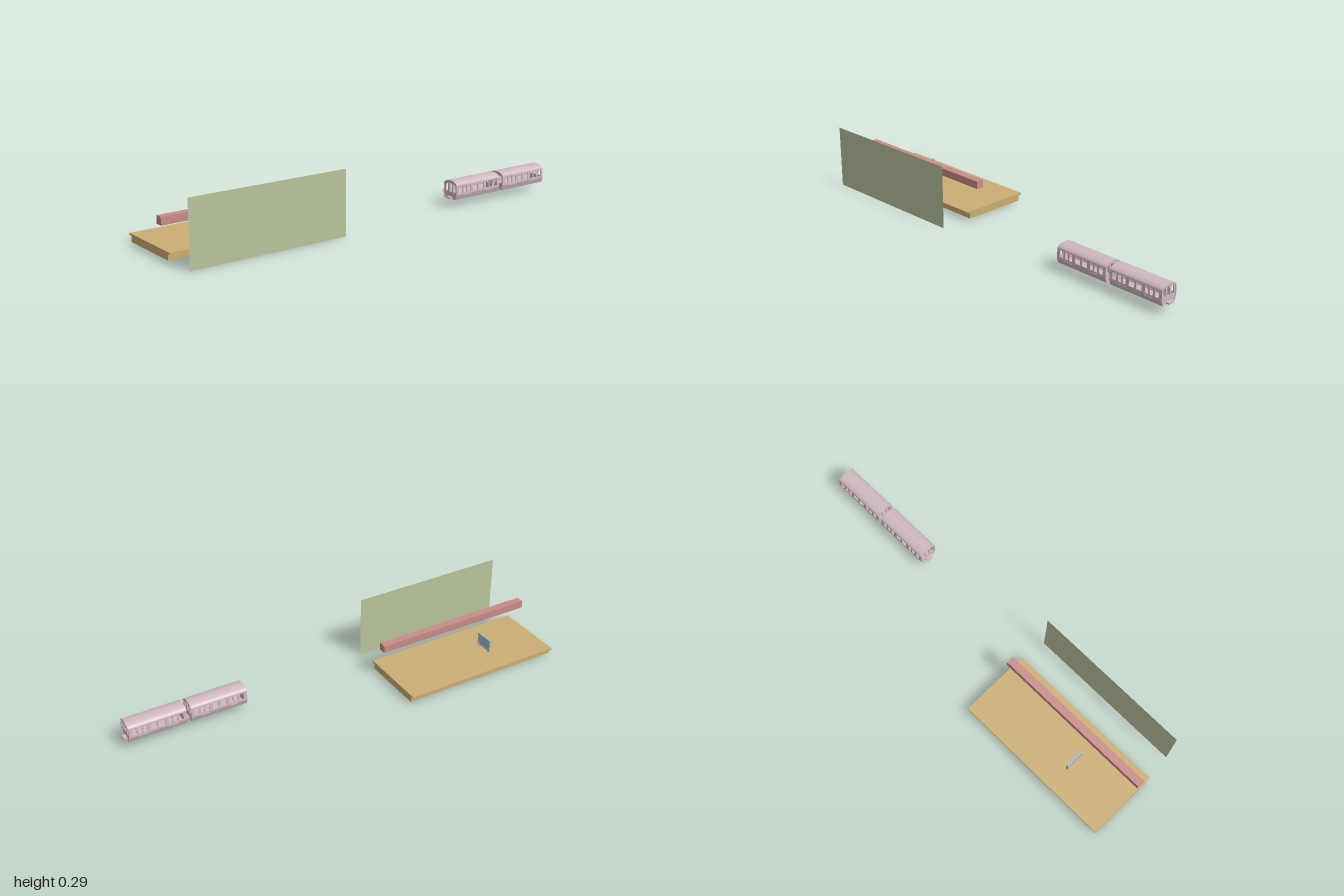
import * as THREE from 'three';

const mat = (color) => new THREE.MeshStandardMaterial({ color, flatShading: true });

function add(parent, name, geometry, material) {
  const mesh = new THREE.Mesh(geometry, material);
  mesh.name = name;
  parent.add(mesh);
  return mesh;
}

function box(parent, name, material, [x0, x1], [y0, y1], [z0, z1]) {
  const mesh = add(parent, name, new THREE.BoxGeometry(x1 - x0, y1 - y0, z1 - z0), material);
  mesh.position.set((x0 + x1) / 2, (y0 + y1) / 2, (z0 + z1) / 2);
  return mesh;
}

const polygon = (pts) => new THREE.Shape(pts.map(([a, b]) => new THREE.Vector2(a, b)));
const rect = (x0, x1, y0, y1) => polygon([[x0, y0], [x1, y0], [x1, y1], [x0, y1]]);
const extrude = (shape, depth) => new THREE.ExtrudeGeometry(shape, { depth, bevelEnabled: false });

// Extrudes a (z, y) cross-section along x, centred on x = 0
function alongX(shape, length) {
  return extrude(shape, length).translate(0, 0, -length / 2).rotateY(-Math.PI / 2);
}

// Carriage cross-section: half width at the floor, waist and eaves, then a curved roof
const FLOOR = [0.037, 0.037], WAIST = [0.0447, 0.06], EAVES = [0.043, 0.103];
const ROOF_RISE = 0.02, LENGTH = 0.268, WALL = 0.003;

function roofArc(inset) {
  const pts = [];
  for (let i = 0; i <= 16; i++) {
    const a = (Math.PI * i) / 16;
    pts.push([(EAVES[0] - inset) * Math.cos(a), EAVES[1] + (ROOF_RISE - inset) * Math.sin(a)]);
  }
  return pts;
}

function outline(inset) {
  const f = [FLOOR[0] - inset, FLOOR[1] + inset], w = [WAIST[0] - inset, WAIST[1]];
  return [f, w, ...roofArc(inset), [-w[0], w[1]], [-f[0], f[1]]];
}

// Flat panel leaned outwards so that its outer face follows two section points
function sidePanel(lo, hi, holes = []) {
  const shape = rect(-LENGTH / 2, LENGTH / 2, lo[1], hi[1]);
  shape.holes.push(...holes);
  const geometry = extrude(shape, WALL);
  const p = geometry.attributes.position;
  for (let i = 0; i < p.count; i++) {
    const t = (p.getY(i) - lo[1]) / (hi[1] - lo[1]);
    p.setZ(i, p.getZ(i) - WALL + lo[0] + (hi[0] - lo[0]) * t);
  }
  geometry.computeVertexNormals();
  return geometry;
}

// Half of the side openings, mirrored about the middle of the carriage
const OPENINGS = [[0.005, 0.033], [0.049, 0.065], [0.073, 0.089], [0.099, 0.119]];

function sideWindows() {
  const holes = [];
  for (const [a, b] of OPENINGS) {
    holes.push(rect(a, b, 0.069, 0.1), rect(-b, -a, 0.069, 0.1));
  }
  return holes;
}

function endWall() {
  const shape = polygon(outline(0.001));
  shape.holes.push(polygon([[-0.008, 0.07], [0.008, 0.07], [0.008, 0.108], [-0.008, 0.108]]));
  for (const s of [-1, 1]) {
    shape.holes.push(polygon([
      [s * 0.018, 0.069], [s * 0.031, 0.069], [s * 0.033, 0.074],
      [s * 0.0325, 0.098], [s * 0.029, 0.104], [s * 0.017, 0.106],
    ]));
  }
  return alongX(shape, 0.004);
}

function carriage(material) {
  const car = new THREE.Group();
  car.name = 'carriage';

  // Sides, with window openings above the waist
  for (const turn of [0, Math.PI]) {
    const side = new THREE.Group();
    side.name = 'carriageSide';
    add(side, 'lowerSide', sidePanel(FLOOR, WAIST), material);
    add(side, 'windowSide', sidePanel(WAIST, EAVES, sideWindows()), material);
    // Door sills
    for (const x of [-0.069, 0.069]) {
      box(side, 'doorSill', material, [x - 0.02, x + 0.02], [0.057, 0.06], [0.042, 0.0465]);
    }
    side.rotation.y = turn;
    car.add(side);
  }

  // Roof and floor
  const roof = polygon([...roofArc(0), ...roofArc(WALL).reverse()]);
  add(car, 'roof', alongX(roof, LENGTH), material);
  box(car, 'floor', material, [-LENGTH / 2, LENGTH / 2], [0.037, 0.04], [-0.036, 0.036]);

  // Ends with a raised rim and a coupler
  const rim = polygon(outline(0));
  rim.holes.push(polygon(outline(0.0045)));
  for (const s of [-1, 1]) {
    add(car, 'endWall', endWall(), material).position.x = s * (LENGTH / 2 - 0.005);
    add(car, 'endRim', alongX(rim, 0.006), material).position.x = s * (LENGTH / 2 - 0.003);
    const coupler = box(car, 'coupler', material, [-0.008, 0.008], [0.04, 0.047], [-0.014, 0.014]);
    coupler.position.x = s * (LENGTH / 2 + 0.005);
  }
  return car;
}

export function createModel() {
  const model = new THREE.Group();
  model.name = 'stationScene';
  const SPAN = [-1, -0.22];

  // Platform with an overhanging edge along both long sides
  const section = polygon([
    [-0.219, 0.008], [0.089, 0.008], [0.089, 0.035], [0.105, 0.035],
    [0.105, 0.043], [-0.237, 0.043], [-0.237, 0.035], [-0.219, 0.035],
  ]);
  const platform = add(model, 'platform', alongX(section, SPAN[1] - SPAN[0]), mat(0xcbae74));
  platform.position.x = (SPAN[0] + SPAN[1]) / 2;

  // Overhead beam
  box(model, 'overheadBeam', mat(0xc98d88), SPAN, [0.14, 0.176], [0.007, 0.043]);

  // Thin wall across the track
  const wallMaterial = mat(0xb9c49c);
  wallMaterial.side = THREE.DoubleSide;
  const wall = add(model, 'trackWall', new THREE.PlaneGeometry(0.752, 0.295), wallMaterial);
  wall.position.set(-0.61, 0.1475, 0.237);

  // Notice board on two legs
  const board = new THREE.Group();
  board.name = 'noticeBoard';
  model.add(board);
  const blue = mat(0xa5bac8);
  box(board, 'boardPanel', blue, [-0.723, -0.717], [0.057, 0.111], [-0.124, -0.037]);
  const frame = rect(-0.126, -0.035, 0.055, 0.113);
  frame.holes.push(rect(-0.122, -0.039, 0.059, 0.109));
  add(board, 'boardFrame', alongX(frame, 0.009), blue).position.x = -0.72;
  for (const z of [-0.05, -0.111]) {
    box(board, 'boardLeg', blue, [-0.722, -0.718], [0.043, 0.056], [z - 0.002, z + 0.002]);
  }

  // Train of two carriages
  const train = new THREE.Group();
  train.name = 'train';
  model.add(train);
  const pink = mat(0xd0b8c0);
  pink.side = THREE.DoubleSide;
  for (const x of [0.564, 0.853]) {
    const car = carriage(pink);
    car.position.set(x, 0, 0.148);
    train.add(car);
  }
  return model;
}
